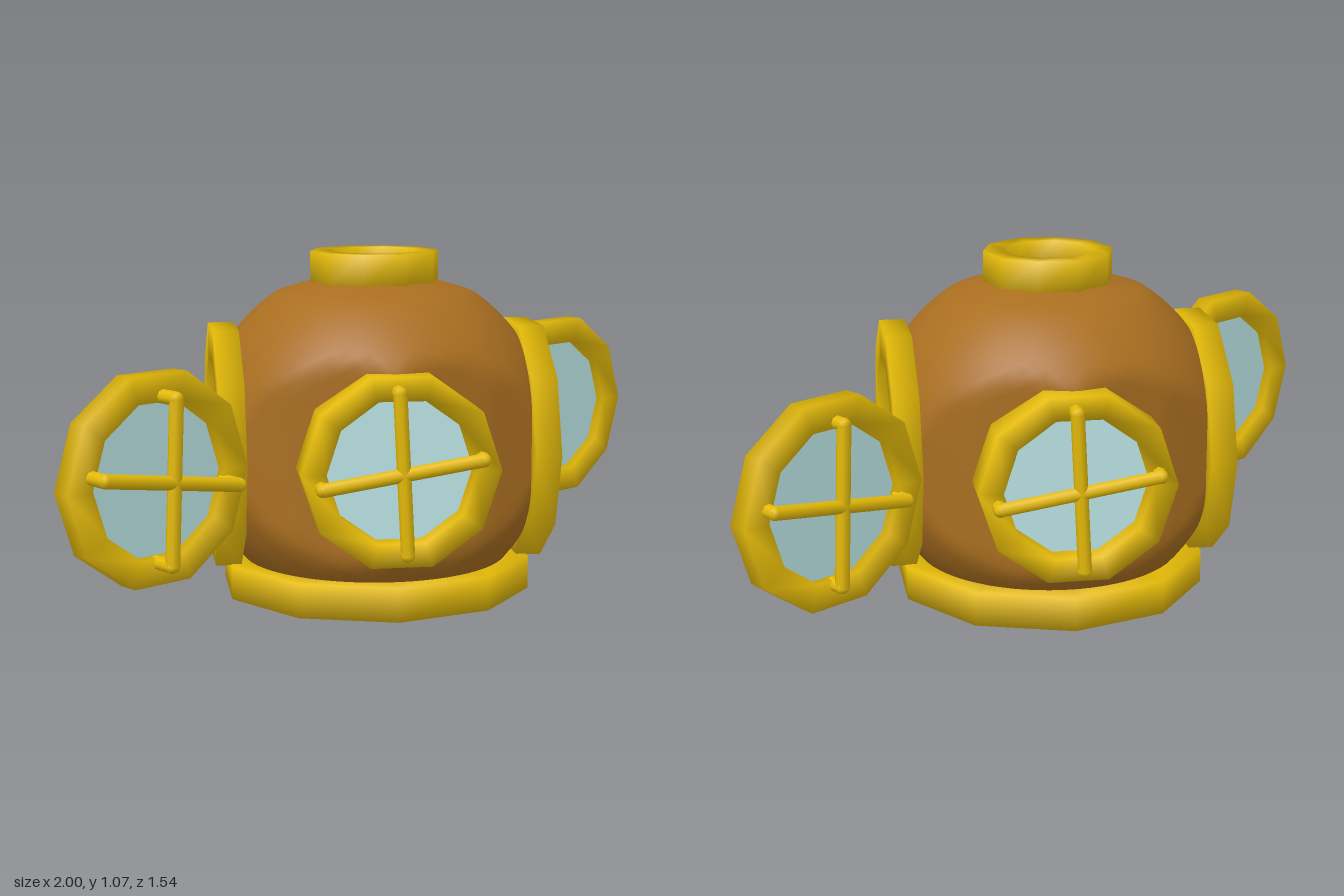
import * as THREE from 'three';
import { mergeVertices } from 'three/addons/utils/BufferGeometryUtils.js';

const brass = new THREE.MeshStandardMaterial({ name: 'brass', color: 0xe4ba08 });
const copper = new THREE.MeshStandardMaterial({ name: 'copper', color: 0xa96e20, side: THREE.DoubleSide });
const glass = new THREE.MeshStandardMaterial({ name: 'glass', color: 0xbce6e6, side: THREE.DoubleSide });

function mesh(name, geometry, material) {
  const m = new THREE.Mesh(geometry, material);
  m.name = name;
  return m;
}

// Ten-sided ring of rectangular section around the y axis, corners shared for soft shading
function ringGeometry(outer, inner, depth, start) {
  const h = depth / 2;
  const section = [[outer, -h], [outer, h], [inner, h], [inner, -h]];
  const positions = [];
  const index = [];
  for (let i = 0; i < 10; i++) {
    const a = start + (i / 10) * Math.PI * 2;
    section.forEach(([r, y], j) => {
      positions.push(r * Math.sin(a), y, r * Math.cos(a));
      const next = ((i + 1) % 10) * 4;
      const k = (j + 1) % 4;
      index.push(i * 4 + j, next + j, next + k, i * 4 + j, next + k, i * 4 + k);
    });
  }
  const g = new THREE.BufferGeometry();
  g.setAttribute('position', new THREE.Float32BufferAttribute(positions, 3));
  g.setIndex(index);
  g.computeVertexNormals();
  return g;
}

// Same ring standing upright, facing z, with corners at +x and -x
function facingRing(name, outer, inner, depth) {
  return mesh(name, ringGeometry(outer, inner, depth, Math.PI / 2).rotateX(Math.PI / 2), brass);
}

// One guard bar with a leg and a rounded elbow at each end
function guardBar(half, base, top, angle) {
  const bar = new THREE.Group();
  bar.name = 'guardBar';
  const r = 0.021;
  const rod = mesh('bar', new THREE.CylinderGeometry(r, r, half * 2, 8).rotateZ(Math.PI / 2), brass);
  rod.position.z = top;
  bar.add(rod);
  for (const side of [-1, 1]) {
    const leg = mesh('barLeg', new THREE.CylinderGeometry(r, r, top - base, 8).rotateX(Math.PI / 2), brass);
    leg.position.set(side * half, 0, (top + base) / 2);
    const elbow = mesh('barElbow', new THREE.SphereGeometry(r, 8, 6), brass);
    elbow.position.set(side * half, 0, top);
    bar.add(leg, elbow);
  }
  bar.rotation.z = angle;
  return bar;
}

// Framed round pane with crossed guard bars on its +z side
function porthole(name, outer, inner, depth, barTop, tilt) {
  const g = new THREE.Group();
  g.name = name;
  const pane = mesh('pane', new THREE.CircleGeometry(inner + 0.02, 10), glass);
  g.add(facingRing('frame', outer, inner, depth), pane);
  const base = depth / 2 - 0.02;
  g.add(guardBar(0.24, base, barTop, tilt * 0.16));
  g.add(guardBar(0.24, base, barTop, Math.PI / 2 + tilt * 0.05));
  return g;
}

// Rounded shell with openings at the sides, windows and neck
function shellGeometry() {
  const R = 0.56;
  const holes = [
    [1, 0, 0, 0.33], [-1, 0, 0, 0.33], [0, 0, 1, 0.26], [0, 0, -1, 0.26], [0, -1, 0, 0.405],
  ].map(([x, y, z, r]) => ({ axis: new THREE.Vector3(x, y, z), r, depth: Math.sqrt(R * R - r * r) }));
  const src = new THREE.IcosahedronGeometry(R, 14).getAttribute('position');
  const out = [];
  for (let i = 0; i < src.count; i += 3) {
    const tri = [0, 1, 2].map((k) => new THREE.Vector3().fromBufferAttribute(src, i + k));
    if (holes.some((h) => tri.every((v) => v.dot(h.axis) >= h.depth))) continue;
    for (const v of tri) {
      // pull stray corners back to the rim of the opening
      for (const h of holes) {
        if (v.dot(h.axis) > h.depth) {
          v.addScaledVector(h.axis, -v.dot(h.axis)).setLength(h.r).addScaledVector(h.axis, h.depth);
        }
      }
      // flattened crown, and flat facets beside the front and back windows
      v.y = Math.min(v.y, 0.52, 0.56 - 0.3 * Math.hypot(v.x, v.z));
      const x = Math.abs(v.x);
      const limit = Math.min(0.489 - 0.3 * x, 0.5586 - 0.54 * x);
      v.z = THREE.MathUtils.clamp(v.z, -limit, limit);
      out.push(v.x, v.y, v.z);
    }
  }
  const g = new THREE.BufferGeometry();
  g.setAttribute('position', new THREE.Float32BufferAttribute(out, 3));
  const welded = mergeVertices(g, 1e-4);
  welded.computeVertexNormals();
  return welded;
}

export function createModel() {
  const model = new THREE.Group();
  model.name = 'divingHelmet';
  const body = new THREE.Group();
  body.name = 'helmet';
  body.position.set(-0.002, 0.475, -0.014);
  model.add(body);

  body.add(mesh('shell', shellGeometry(), copper));

  // Collar at the base and ring on the crown
  const collar = mesh('collar', ringGeometry(0.495, 0.365, 0.105, 0), brass);
  collar.position.y = 0.0525 - 0.475;
  const crown = mesh('crownRing', ringGeometry(0.203, 0.14, 0.1, Math.PI / 2), brass);
  crown.position.y = 1.02 - 0.475;
  body.add(collar, crown);

  // Each half: a side opening, a fixed window and a swung-open door
  for (const half of [0, 1]) {
    const g = new THREE.Group();
    g.name = half ? 'backHalf' : 'frontHalf';
    g.rotation.y = half * Math.PI;

    const sideRing = facingRing('sideRing', 0.387, 0.28, 0.08);
    sideRing.rotation.y = Math.PI / 2;
    sideRing.position.set(-0.478, -0.006, 0);

    const window = porthole('window', 0.297, 0.222, 0.138, 0.1, 1);
    window.position.set(0, -0.011, 0.479);

    const door = porthole('door', 0.32, 0.235, 0.064, half ? 0.062 : 0.094, -1);
    door.position.set(half ? -0.724 : -0.717, -0.004, 0.55);
    door.rotation.y = 0.614;

    g.add(sideRing, window, door);
    body.add(g);
  }
  return model;
}
